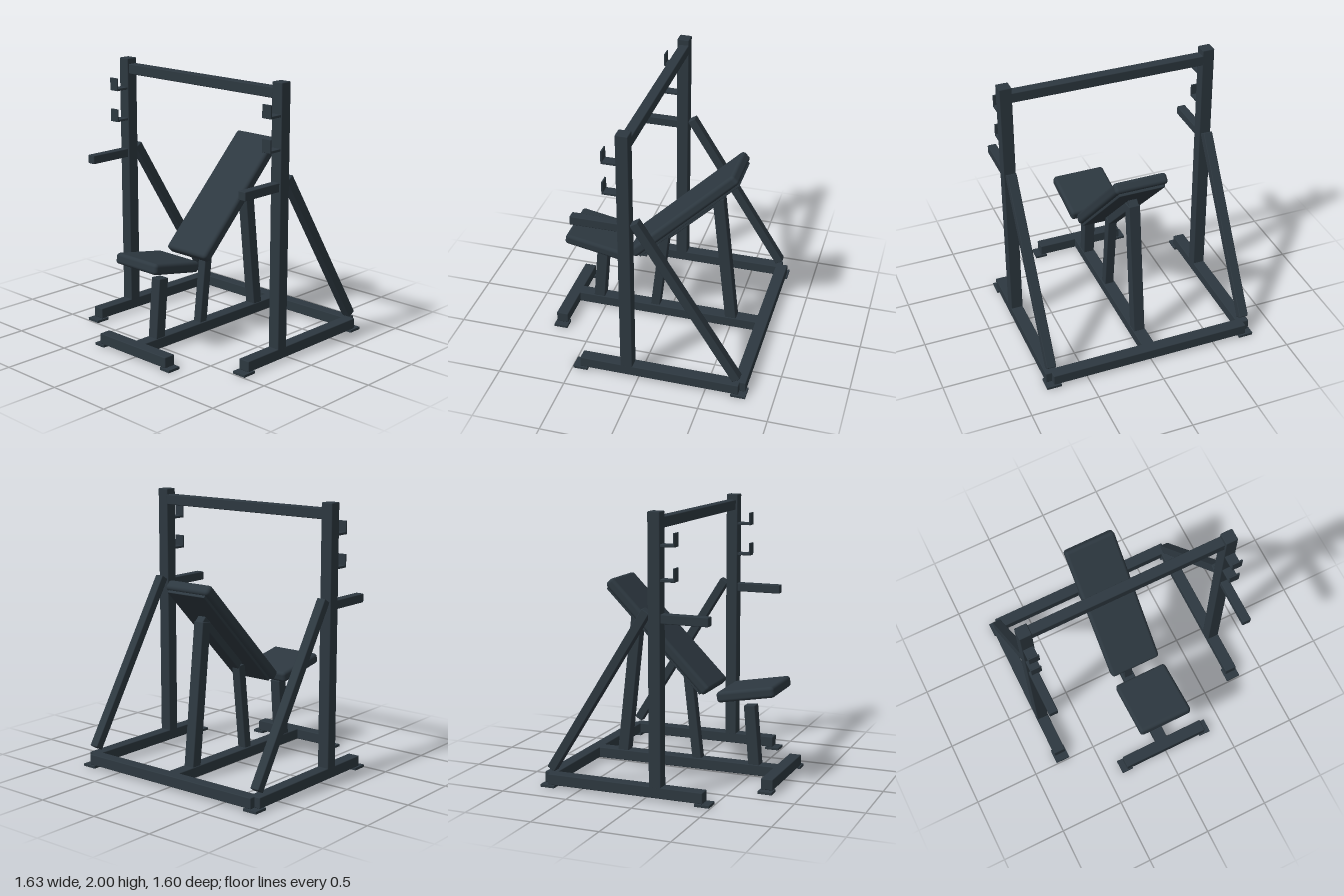
import * as THREE from 'three';
import { RoundedBoxGeometry } from 'three/addons/geometries/RoundedBoxGeometry.js';

const steel = new THREE.MeshStandardMaterial({ color: 0x2d3840 });
steel.name = 'dark slate';

export function createModel() {
  const model = new THREE.Group();
  model.name = 'inclineBenchRack';

  // Softly edged box centred on a point, tilted about x
  function bar(name, size, pos, tilt = 0, radius = 0.006, segments = 1) {
    const mesh = new THREE.Mesh(new RoundedBoxGeometry(...size, segments, radius), steel);
    mesh.name = name;
    mesh.position.set(...pos);
    mesh.rotation.x = tilt;
    model.add(mesh);
    return mesh;
  }

  // Square tube between two [y, z] points in a plane of constant x
  function strut(name, x, [y0, z0], [y1, z1], width, depth) {
    const dy = y1 - y0, dz = z1 - z0;
    return bar(name, [width, Math.hypot(dy, dz), depth],
      [x, (y0 + y1) / 2, (z0 + z1) / 2], Math.atan2(dz, dy));
  }

  // Floor frame
  bar('rearBaseBar', [1.52, 0.08, 0.09], [0, 0.06, -0.745]);
  bar('frontBaseBar', [0.68, 0.08, 0.09], [0, 0.06, 0.745]);
  bar('baseSpine', [0.095, 0.08, 1.49], [0, 0.06, 0]);

  // Rack sides, mirrored
  for (const s of [-1, 1]) {
    const x = s * 0.76;
    bar('sideBaseRail', [0.09, 0.08, 1.185], [x, 0.06, -0.1525]);
    bar('upright', [0.09, 1.91, 0.09], [x, 1.045, 0.087]);
    strut('rearBrace', x, [0.135, -0.725], [1.325, 0.02], 0.07, 0.065);
    bar('safetyArm', [0.065, 0.065, 0.36], [x, 1.2775, 0.295]);

    // Bar hooks: shelf and upturned lip
    for (const y of [1.53, 1.765]) {
      bar('hookShelf', [0.075, 0.018, 0.115], [x, y + 0.009, 0.178], 0, 0.003);
      bar('hookLip', [0.078, 0.096, 0.012], [x, y + 0.048, 0.23], 0, 0.003);
    }

    // Floor plates
    bar('footPlate', [0.11, 0.02, 0.11], [x, 0.01, 0.438], 0, 0.002);
    bar('footPlate', [0.11, 0.02, 0.11], [x, 0.01, -0.745], 0, 0.002);
    bar('frontFootPlate', [0.09, 0.02, 0.105], [s * 0.34, 0.01, 0.745], 0, 0.002);
  }
  bar('topCrossbar', [1.52, 0.075, 0.075], [0, 1.92, 0.08]);

  // Bench posts
  strut('seatPost', 0, [0.08, 0.545], [0.54, 0.505], 0.085, 0.085);
  strut('middlePost', 0, [0.08, 0.095], [0.75, 0.018], 0.07, 0.07);
  strut('rearPost', 0, [0.08, -0.507], [1.14, -0.387], 0.085, 0.085);

  // Seat pad, raised at the front
  bar('seatPad', [0.415, 0.08, 0.44], [0, 0.657, 0.527], -0.18, 0.025, 4);

  // Backrest: pad, backing board and support beam stacked along its own z
  const back = new THREE.Group();
  back.name = 'backrest';
  back.position.set(0, 1.03, -0.158);
  back.rotation.x = -Math.PI / 4;
  back.add(
    bar('backPad', [0.392, 1.09, 0.08], [0, 0, 0], 0, 0.025, 4),
    bar('backBoard', [0.34, 1.04, 0.024], [0, 0, -0.048], 0, 0.004),
    bar('backSupport', [0.07, 0.58, 0.06], [0, -0.02, -0.088]),
  );
  model.add(back);

  return model;
}
